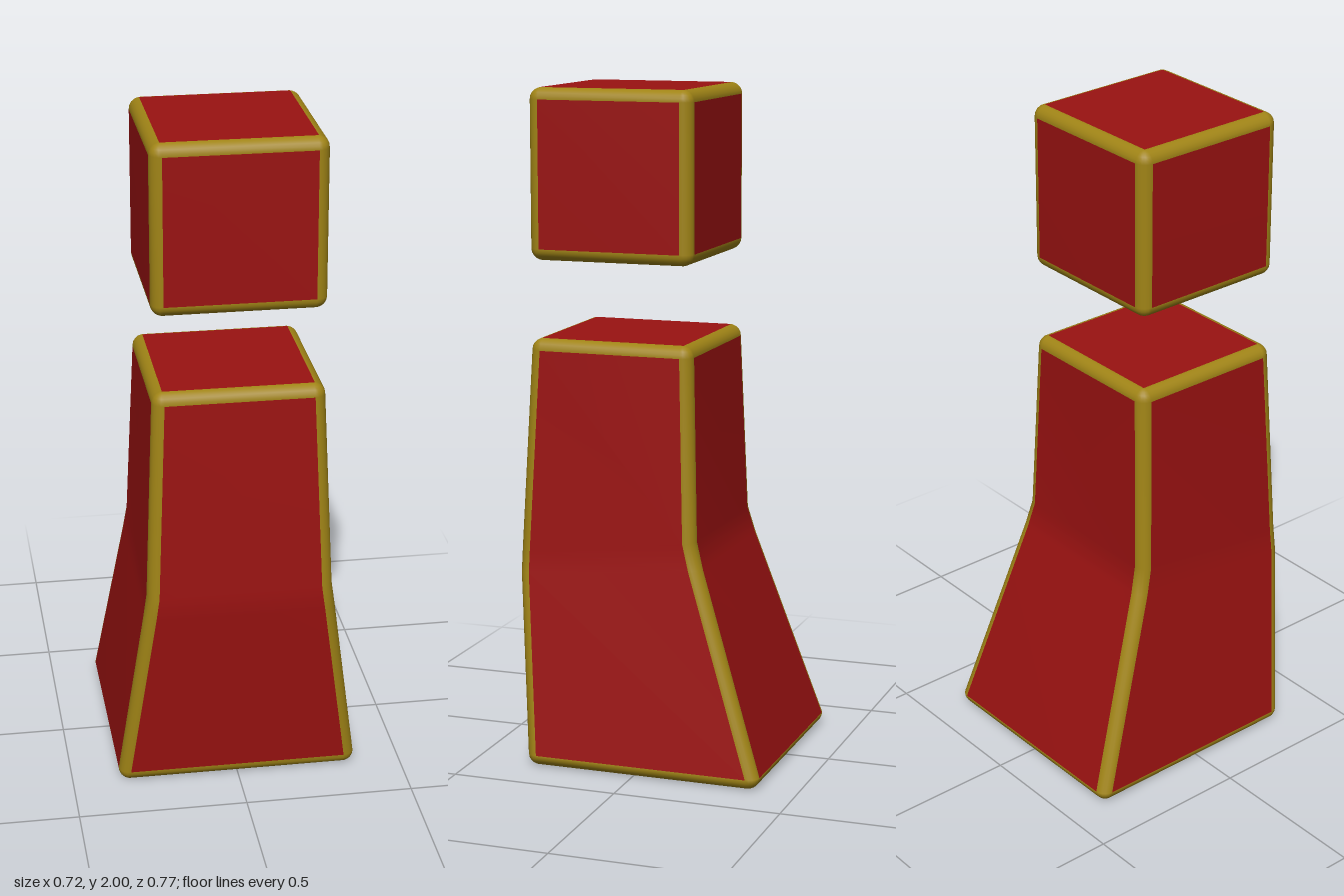
import * as THREE from 'three';

const red = new THREE.MeshStandardMaterial({ color: 0x9a1211 });
const gold = new THREE.MeshStandardMaterial({ color: 0xa08416 });

const R = 0.034; // edge radius
const ARC = 5;   // segments per rounded edge

// Rounded rectangle ring; y may differ between front and back.
function ring({ hx, back, front, yBack, yFront }, radius, dy) {
  const points = [];
  const corners = [[1, 1], [-1, 1], [-1, -1], [1, -1]];
  corners.forEach(([sx, sz], q) => {
    for (let i = 0; i <= ARC; i++) {
      const a = (q + i / ARC) * Math.PI / 2;
      const x = sx * (hx - R) + Math.cos(a) * radius;
      const z = (sz > 0 ? front - R : back + R) + Math.sin(a) * radius;
      const t = (z - back) / (front - back);
      points.push(new THREE.Vector3(x, THREE.MathUtils.lerp(yBack, yFront, t) + dy, z));
    }
  });
  return points;
}

// Loft sections into a closed block: flat panels in red, rounded edges in gold.
function roundedLoft(name, sections) {
  const rings = [];
  const last = sections.length - 1;
  const bevel = (section, s) => {
    for (let i = 0; i <= ARC; i++) {
      const k = s < 0 ? i : ARC - i;
      const a = k / ARC * Math.PI / 2;
      rings.push(ring(section, R * Math.max(Math.sin(a), 0.1), s * R * (Math.cos(a) - 1)));
    }
  };
  bevel(sections[0], -1);
  sections[0].yBack === sections[last].yBack || sections.slice(1, last).forEach(s => rings.push(ring(s, R, 0)));
  // The bottom bevel rises from the base; the top bevel falls from the cap.
  const lower = ARC, upper = rings.length;
  bevel(sections[last], 1);

  const n = rings[0].length;
  const points = rings.flat();
  const panels = [], trim = [];
  for (let i = 0; i < rings.length - 1; i++) {
    for (let j = 0; j < n; j++) {
      const a = i * n + j, b = i * n + (j + 1) % n;
      const flat = j % (ARC + 1) === ARC && i >= lower && i < upper;
      (flat ? panels : trim).push(a, a + n, b + n, a, b + n, b);
    }
  }
  // End caps
  const top = (rings.length - 1) * n;
  for (let j = 1; j < n - 1; j++) {
    panels.push(0, j, j + 1, top, top + j + 1, top + j);
  }

  // Both meshes share normals so shading flows across the edges.
  const whole = new THREE.BufferGeometry().setFromPoints(points);
  whole.setIndex([...panels, ...trim]);
  whole.computeVertexNormals();
  const group = new THREE.Group();
  group.name = name;
  for (const [part, index, material] of [['Panels', panels, red], ['EdgeTrim', trim, gold]]) {
    const geometry = whole.clone().setIndex(index);
    const mesh = new THREE.Mesh(geometry, material);
    mesh.name = name + part;
    group.add(mesh);
  }
  return group;
}

const section = (hx, back, front, yBack, yFront = yBack) => ({ hx, back, front, yBack, yFront });

export function createModel() {
  const model = new THREE.Group();
  model.name = 'figure';

  // Bent, tapering body
  model.add(roundedLoft('body', [
    section(0.36, -0.385, 0.335, 0),
    section(0.284, -0.185, 0.383, 0.62, 0.57),
    section(0.274, -0.163, 0.383, 0.70, 0.64),
    section(0.25, -0.145, 0.355, 1.27),
  ]));

  // Floating cube head
  model.add(roundedLoft('head', [
    section(0.25, -0.145, 0.355, 1.5),
    section(0.25, -0.145, 0.355, 2),
  ]));
  return model;
}
